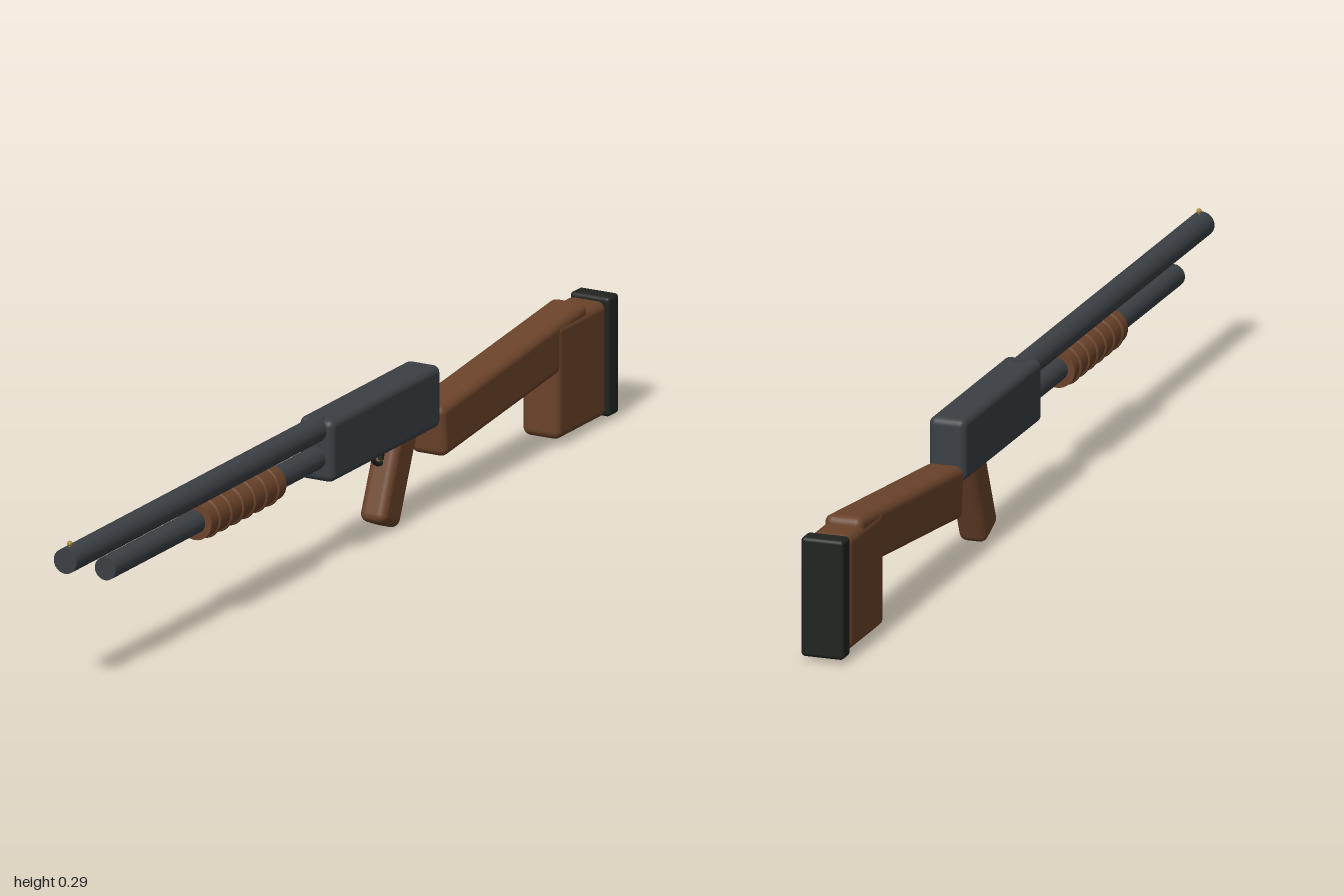
import * as THREE from 'three';
import { RoundedBoxGeometry } from 'three/addons/geometries/RoundedBoxGeometry.js';

const metal = new THREE.MeshStandardMaterial({ color: 0x3b4045 });
const wood = new THREE.MeshStandardMaterial({ color: 0x6b432a });
const rubber = new THREE.MeshStandardMaterial({ color: 0x20231f });
const brass = new THREE.MeshStandardMaterial({ color: 0xb08d3c });

export function createModel() {
  const model = new THREE.Group();

  const add = (name, geometry, material, y, z, tilt = 0) => {
    const mesh = new THREE.Mesh(geometry, material);
    mesh.name = name;
    mesh.position.set(0, y, z);
    mesh.rotation.x = tilt;
    model.add(mesh);
    return mesh;
  };
  // Rounded block, sized across x, y and z
  const block = (name, w, h, d, r, material, y, z, tilt) =>
    add(name, new RoundedBoxGeometry(w, h, d, 4, r), material, y, z, tilt);
  // Rod lying along z between two ends
  const rod = (name, r, z0, z1, material, y) =>
    add(name, new THREE.CylinderGeometry(r, r, z1 - z0, 32).rotateX(Math.PI / 2), material, y, (z0 + z1) / 2);

  // Receiver, barrel and magazine
  block('receiver', 0.073, 0.12, 0.41, 0.014, metal, 0.218, -0.14);
  rod('barrel', 0.024, 0.03, 1, metal, 0.258);
  rod('magazineTube', 0.022, 0.03, 0.85, metal, 0.203);

  // Front sight bead on its post
  add('sightPost', new THREE.CylinderGeometry(0.002, 0.002, 0.008, 10), brass, 0.283, 0.983);
  add('sightBead', new THREE.SphereGeometry(0.005, 16, 12), brass, 0.288, 0.983);

  // Sliding fore-end with raised ribs
  rod('foreEnd', 0.0355, 0.235, 0.515, wood, 0.203);
  for (let i = 0; i < 6; i++) {
    add('foreEndRib', new THREE.TorusGeometry(0.0352, 0.004, 10, 32), wood, 0.203, 0.265 + i * 0.044);
  }

  // Trigger guard loop, hanging below the receiver in the yz plane
  const guard = new THREE.TorusGeometry(0.031, 0.0045, 10, 24, Math.PI);
  guard.rotateZ(Math.PI).rotateY(Math.PI / 2);
  add('triggerGuard', guard, rubber, 0.158, -0.178);
  add('trigger', new THREE.BoxGeometry(0.008, 0.03, 0.008), rubber, 0.148, -0.184, -0.2);

  // Grip, shoulder stock and butt
  block('grip', 0.055, 0.2, 0.075, 0.016, wood, 0.103, -0.212, -0.4);
  block('stock', 0.076, 0.1, 0.55, 0.016, wood, 0.172, -0.622, 0.107);
  block('butt', 0.08, 0.222, 0.185, 0.016, wood, 0.124, -0.866);
  block('buttPad', 0.084, 0.23, 0.04, 0.008, rubber, 0.124, -0.98);

  return model;
}
